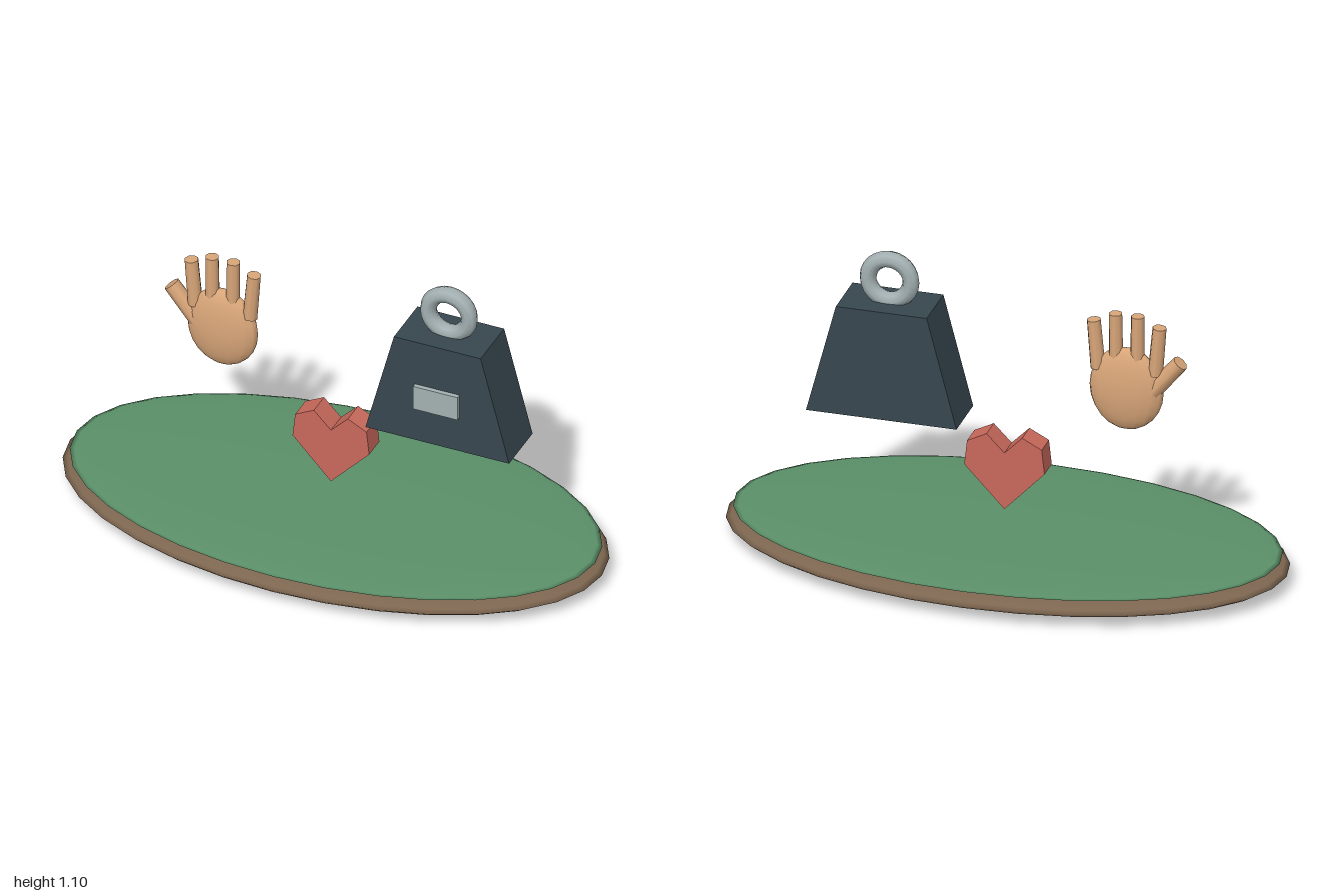
import * as THREE from 'three';

const mat = (color, flatShading = false) => new THREE.MeshStandardMaterial({ color, flatShading });

function add(parent, name, geometry, material, x = 0, y = 0, z = 0) {
  const mesh = new THREE.Mesh(geometry, material);
  mesh.name = name;
  mesh.position.set(x, y, z);
  parent.add(mesh);
  return mesh;
}

// Flat outline extruded symmetrically about z = 0
function slab(points, depth) {
  const shape = new THREE.Shape(points.map(([x, y]) => new THREE.Vector2(x, y)));
  return new THREE.ExtrudeGeometry(shape, { depth, bevelEnabled: false }).translate(0, 0, -depth / 2);
}

const ellipsoid = (rx, ry, rz, w, h) => new THREE.SphereGeometry(1, w, h).scale(rx, ry, rz);

export function createModel() {
  const model = new THREE.Group();
  model.name = 'islandWithFloatingObjects';

  // Island: earth disc with a thinner grass disc on top
  add(model, 'earth', ellipsoid(1, 0.06, 0.545, 32, 16), mat(0x7d6650), 0, 0.06);
  add(model, 'grass', ellipsoid(0.975, 0.018, 0.525, 32, 16), mat(0x5b9069), 0, 0.105);

  // Heart
  const half = [[0.144, 0.35], [0.134, 0.441], [0.064, 0.477]];
  const mirrored = half.map(([x, y]) => [-x, y]).reverse();
  add(model, 'heart', slab([[0, 0.198], ...half, [0, 0.412], ...mirrored], 0.086), mat(0xc9695c, true));

  // Weight: tapered body, front plate and carrying ring
  const weight = new THREE.Group();
  weight.name = 'weight';
  weight.position.x = 0.425;
  model.add(weight);
  const body = [[-0.27, 0.505], [0.27, 0.505], [0.163, 0.914], [-0.163, 0.914]];
  const metal = mat(0xa3b0b2);
  add(weight, 'weightBody', slab(body, 0.198), mat(0x37474f, true));
  add(weight, 'weightPlate', new THREE.BoxGeometry(0.168, 0.094, 0.02), metal, 0, 0.692, 0.106);
  add(weight, 'weightRing', new THREE.TorusGeometry(0.077, 0.03, 8, 24), metal, 0, 0.995);

  // Hand: palm, four fingers and a thumb
  const hand = new THREE.Group();
  hand.name = 'hand';
  hand.position.set(-0.426, 0.7, 0);
  model.add(hand);
  const skin = mat(0xd9a679);
  add(hand, 'palm', ellipsoid(0.133, 0.155, 0.045, 16, 12), skin);

  // Each digit runs from its base to its tip, relative to the palm centre
  function digit(name, base, tip, radius) {
    const a = new THREE.Vector3(...base, 0), b = new THREE.Vector3(...tip, 0);
    const dir = b.clone().sub(a);
    const geometry = new THREE.CylinderGeometry(radius, radius * 1.08, dir.length(), 8);
    const mesh = add(hand, name, geometry, skin);
    mesh.position.copy(a).lerp(b, 0.5);
    mesh.quaternion.setFromUnitVectors(new THREE.Vector3(0, 1, 0), dir.normalize());
  }
  for (const s of [-1, 1]) {
    digit('outerFinger', [s * 0.103, 0.067], [s * 0.118, 0.246], 0.025);
    digit('innerFinger', [s * 0.038, 0.09], [s * 0.04, 0.279], 0.024);
  }
  digit('thumb', [-0.088, -0.005], [-0.193, 0.122], 0.029);

  return model;
}
